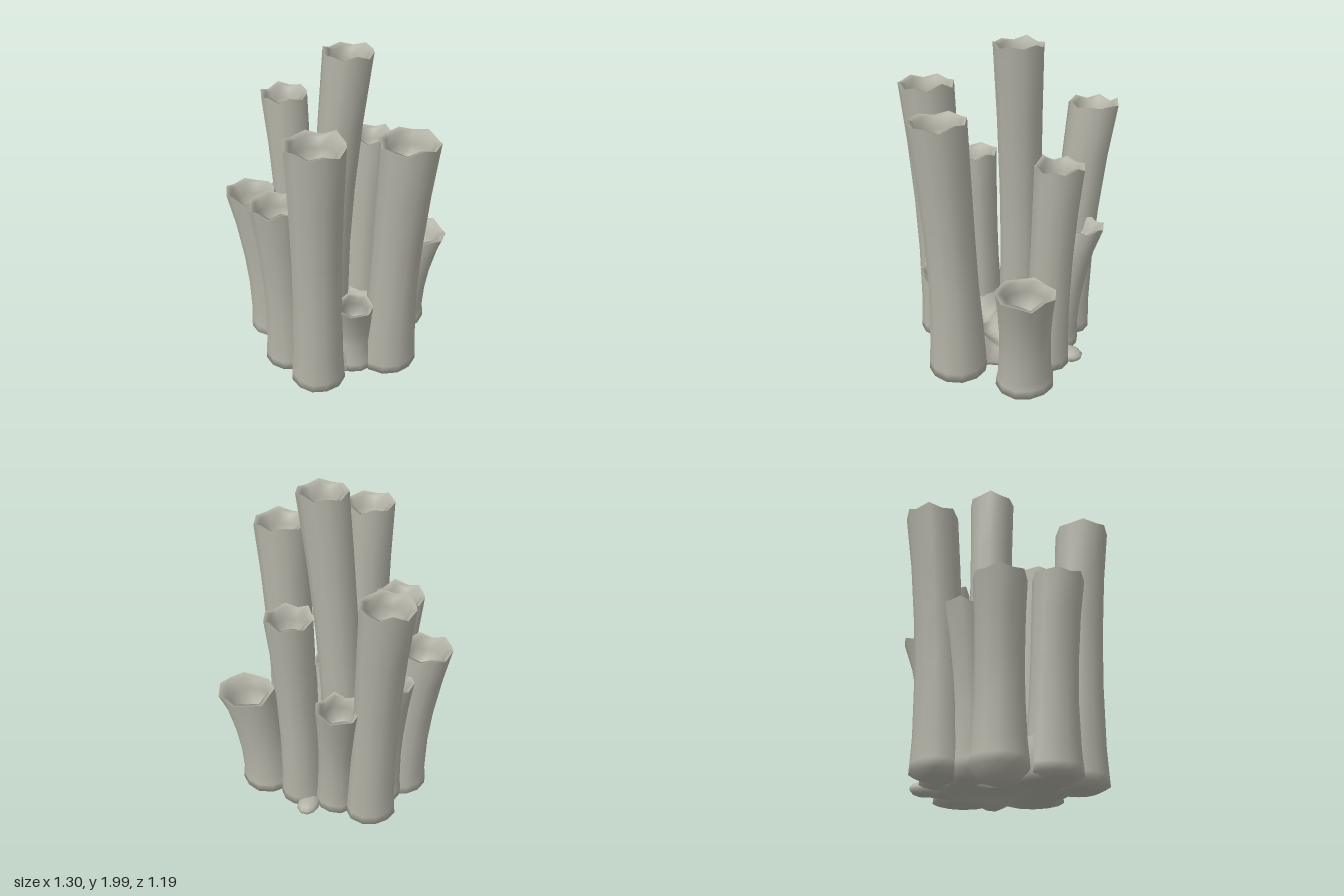
import * as THREE from 'three';
import { mergeGeometries } from 'three/addons/utils/BufferGeometryUtils.js';

const SIDES = 12;

// foot and top are [x, z] centres, h is the rim height, flare widens the foot
const TUBES = {
  tallCentreTube: { foot: [-0.06, -0.125], top: [0.06, -0.13], r: 0.136, h: 2.0, bottom: 0.05, flare: 1.06 },
  frontTube: { foot: [-0.015, 0.36], top: [0, 0.435], r: 0.16, h: 1.73, bottom: 0.075, flare: 1.04 },
  frontLeftTube: { foot: [0.37, 0.115], top: [0.437, 0.172], r: 0.16, h: 1.66, bottom: 0.1, flare: 1.1 },
  backRightTube: { foot: [-0.3, -0.355], top: [-0.385, -0.443], r: 0.144, h: 1.6, bottom: 0.08, flare: 1.04 },
  backLeftTube: { foot: [0.13, -0.35], top: [0.157, -0.4], r: 0.133, h: 1.4, bottom: 0.1, flare: 1.04 },
  frontRightTube: { foot: [-0.225, 0.215], top: [-0.262, 0.265], r: 0.147, h: 1.26, bottom: 0.09, flare: 1.07 },
  rightTube: { foot: [-0.4, -0.05], top: [-0.505, -0.045], r: 0.147, h: 1.13, bottom: 0.03, flare: 1.06 },
  innerRightTube: { foot: [-0.31, -0.19], top: [-0.375, -0.255], r: 0.12, h: 1.02, bottom: 0.06, flare: 1.06 },
  backTube: { foot: [-0.09, -0.355], top: [-0.142, -0.472], r: 0.124, h: 0.93, bottom: 0.1, flare: 1.04 },
  leftTube: { foot: [0.38, -0.3], top: [0.485, -0.33], r: 0.162, h: 0.79, bottom: 0.1, flare: 1.03 },
  shortFrontTube: { foot: [0.17, 0.18], top: [0.19, 0.31], r: 0.107, h: 0.66, bottom: 0.1, flare: 1.25 },
};

// small seeded generator for the organic irregularity
function seeded(seed) {
  let s = seed * 7919 + 17;
  return () => (s = (s * 16807) % 2147483647) / 2147483647;
}

// skin a list of rings, each a function of the side index giving [x, y, z]
function loft(rings, sides) {
  const pos = [], index = [];
  rings.forEach((ring, i) => {
    for (let j = 0; j < sides; j++) {
      pos.push(...ring(j, (j / sides) * Math.PI * 2));
      if (i === rings.length - 1) continue;
      const a = i * sides + j, b = i * sides + ((j + 1) % sides);
      index.push(a, a + sides, b, b, a + sides, b + sides);
    }
  });
  const g = new THREE.BufferGeometry();
  g.setAttribute('position', new THREE.Float32BufferAttribute(pos, 3));
  g.setIndex(index);
  g.computeVertexNormals();
  return g;
}

// one hollow tube: rounded foot, flared base, leaning wall, ragged rim and bowl
function tubeGeometry({ foot, top, r, h, bottom, flare }, seed) {
  const rand = seeded(seed + 3);
  for (let i = 0; i < 5; i++) rand();
  const bump = Array.from({ length: SIDES }, () => 1 + (rand() - 0.5) * 0.07);
  const rag = Array.from({ length: SIDES }, (_, j) => -0.022 * (j % 2) - 0.02 * rand());
  const ring = (y, radius, ragged = 0, even = false) => {
    const t = Math.max(0, (y - 0.12) / (h - 0.12));
    const k = Math.pow(t, 1.6);
    const cx = foot[0] + (top[0] - foot[0]) * k;
    const cz = foot[1] + (top[1] - foot[1]) * k;
    return (j, a) => {
      const q = r * radius * (even ? 1 : bump[j]);
      return [cx + Math.cos(a) * q, y + rag[j] * ragged, cz + Math.sin(a) * q];
    };
  };
  const at = (t) => 0.12 + (h - 0.12) * t;
  const outer = loft([
    ring(bottom, 0), ring(bottom + (0.12 - bottom) * 0.35, 0.65),
    ring(0.12, flare), ring(0.17, flare * 0.98), ring(at(0.13), flare * 0.92),
    ring(at(0.35), 0.9), ring(at(0.55), 0.89), ring(at(0.78), 0.93), ring(h, 1, 1),
  ], SIDES);
  const inner = loft([
    ring(h, 1, 1), ring(h - 0.012, 0.79, 0.9, true), ring(h - 0.09, 0.74, 0.3, true),
    ring(h - 0.16, 0.58, 0, true), ring(h - 0.195, 0.3, 0, true), ring(h - 0.205, 0, 0, true),
  ], SIDES);
  return mergeGeometries([outer, inner]);
}

// lumpy slab that joins all the feet and climbs a little up each tube
function baseGeometry() {
  const outline = (a) => 0.355 + 0.02 * Math.sin(3 * a + 1)
    - 0.07 * Math.exp(-Math.pow(Math.sin((a + 0.2) / 2) * 6, 2));
  const bell = (x, z, cx, cz, w) => Math.exp(-((x - cx) ** 2 + (z - cz) ** 2) / (w * w));
  const under = (x, z) => 0.1 - 0.1 * bell(x, z, 0, -0.1, 0.13) - 0.05 * bell(x, z, -0.33, -0.08, 0.14);
  const over = (x, z) => 0.17 + 0.3 * Math.max(
    ...Object.values(TUBES).map(({ foot, r }) => bell(x, z, foot[0], foot[1], r * 1.1)));
  const ring = (f, height) => (j, a) => {
    const x = Math.cos(a) * outline(a) * f, z = Math.sin(a) * outline(a) * f;
    return [x, height(x, z), z];
  };
  const steps = [0, 0.12, 0.25, 0.38, 0.5, 0.62, 0.75, 0.87, 0.97];
  return loft([
    ...steps.map((f) => ring(f, under)),
    ring(1.02, () => 0.13),
    ...steps.slice().reverse().map((f) => ring(f, over)),
  ], 40);
}

export function createModel() {
  const model = new THREE.Group();
  model.name = 'tubeCluster';
  const stone = new THREE.MeshStandardMaterial({ color: 0xb2b2a6 });
  stone.name = 'warmGrey';

  const add = (name, geometry) => {
    const mesh = new THREE.Mesh(geometry, stone);
    mesh.name = name;
    model.add(mesh);
    return mesh;
  };

  Object.entries(TUBES).forEach(([name, spec], i) => add(name, tubeGeometry(spec, i + 1)));
  add('base', baseGeometry());

  // small rounded bud at the back of the base
  const bud = add('backBud', new THREE.SphereGeometry(0.065, 10, 7));
  bud.scale.set(1, 0.65, 1.3);
  bud.position.set(0.05, 0.13, -0.47);

  return model;
}
